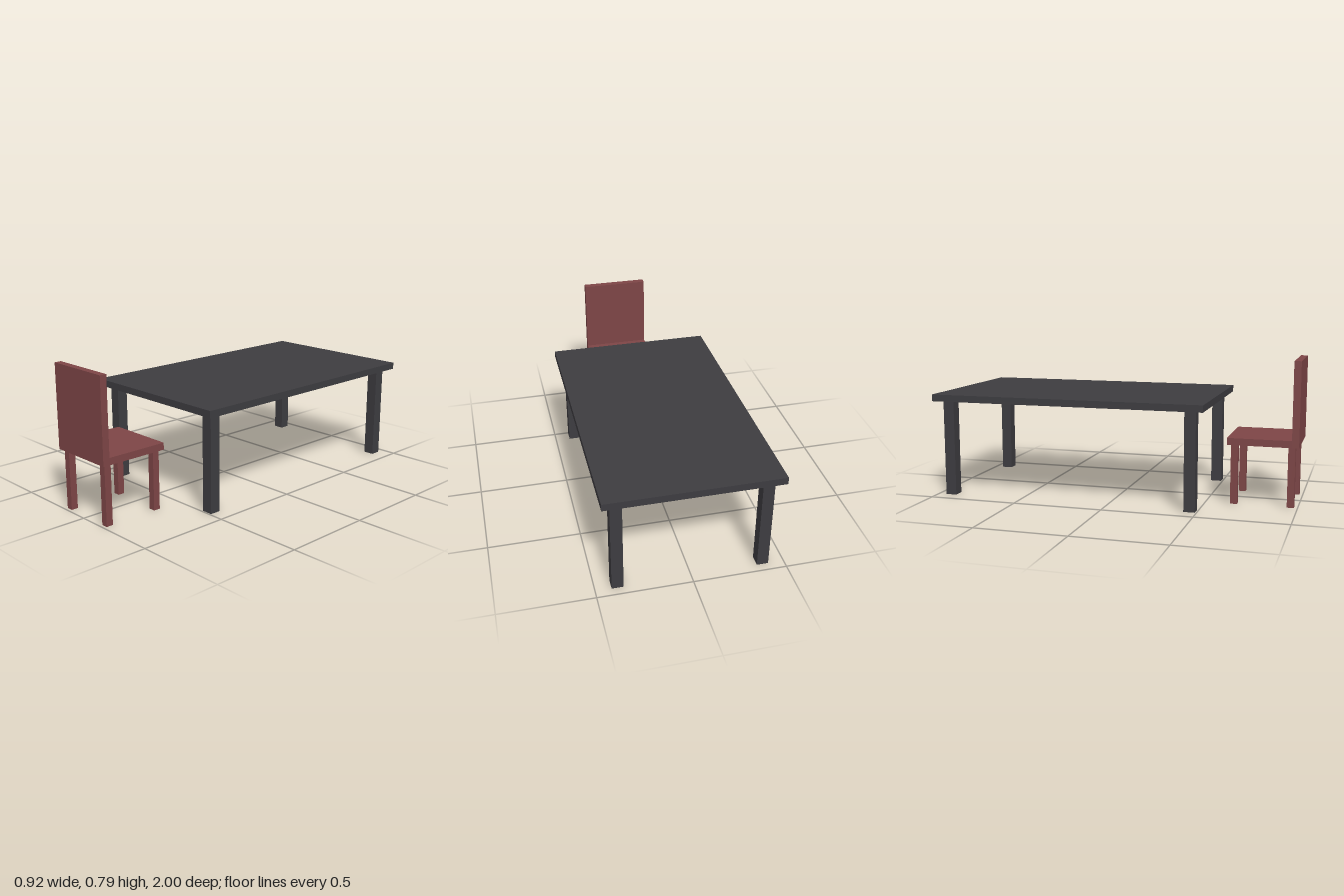
import * as THREE from 'three';

const tableMaterial = new THREE.MeshStandardMaterial({ color: 0x3d3c40 });
tableMaterial.name = 'charcoal';
const chairMaterial = new THREE.MeshStandardMaterial({ color: 0x7d4546 });
chairMaterial.name = 'dark red';

// Box given by its size, the centre of its underside and its material
function addBox(parent, name, [w, h, d], [x, y, z], material) {
  const mesh = new THREE.Mesh(new THREE.BoxGeometry(w, h, d), material);
  mesh.name = name;
  mesh.position.set(x, y + h / 2, z);
  parent.add(mesh);
}

// Four square legs, mirrored about the centre of the piece
function addLegs(parent, thickness, height, offsetX, offsetZ, material) {
  for (const sz of [1, -1]) {
    for (const sx of [1, -1]) {
      const name = (sz > 0 ? 'front' : 'back') + (sx > 0 ? 'Left' : 'Right') + 'Leg';
      addBox(parent, name, [thickness, height, thickness], [sx * offsetX, 0, sz * offsetZ], material);
    }
  }
}

export function createModel() {
  const model = new THREE.Group();
  model.name = 'tableAndChair';

  // Long table
  const table = new THREE.Group();
  table.name = 'table';
  table.position.z = -0.2315;
  addBox(table, 'tableTop', [0.922, 0.038, 1.537], [0, 0.539, 0], tableMaterial);
  addLegs(table, 0.0615, 0.539, 0.3845, 0.692, tableMaterial);

  // Chair facing the table, its backrest on the outer side
  const chair = new THREE.Group();
  chair.name = 'chair';
  chair.position.z = 0.808;
  addBox(chair, 'seat', [0.384, 0.038, 0.346], [0, 0.329, -0.019], chairMaterial);
  addBox(chair, 'backrest', [0.384, 0.461, 0.038], [0, 0.329, 0.173], chairMaterial);
  addLegs(chair, 0.038, 0.329, 0.1535, 0.1535, chairMaterial);

  model.add(table, chair);
  return model;
}
